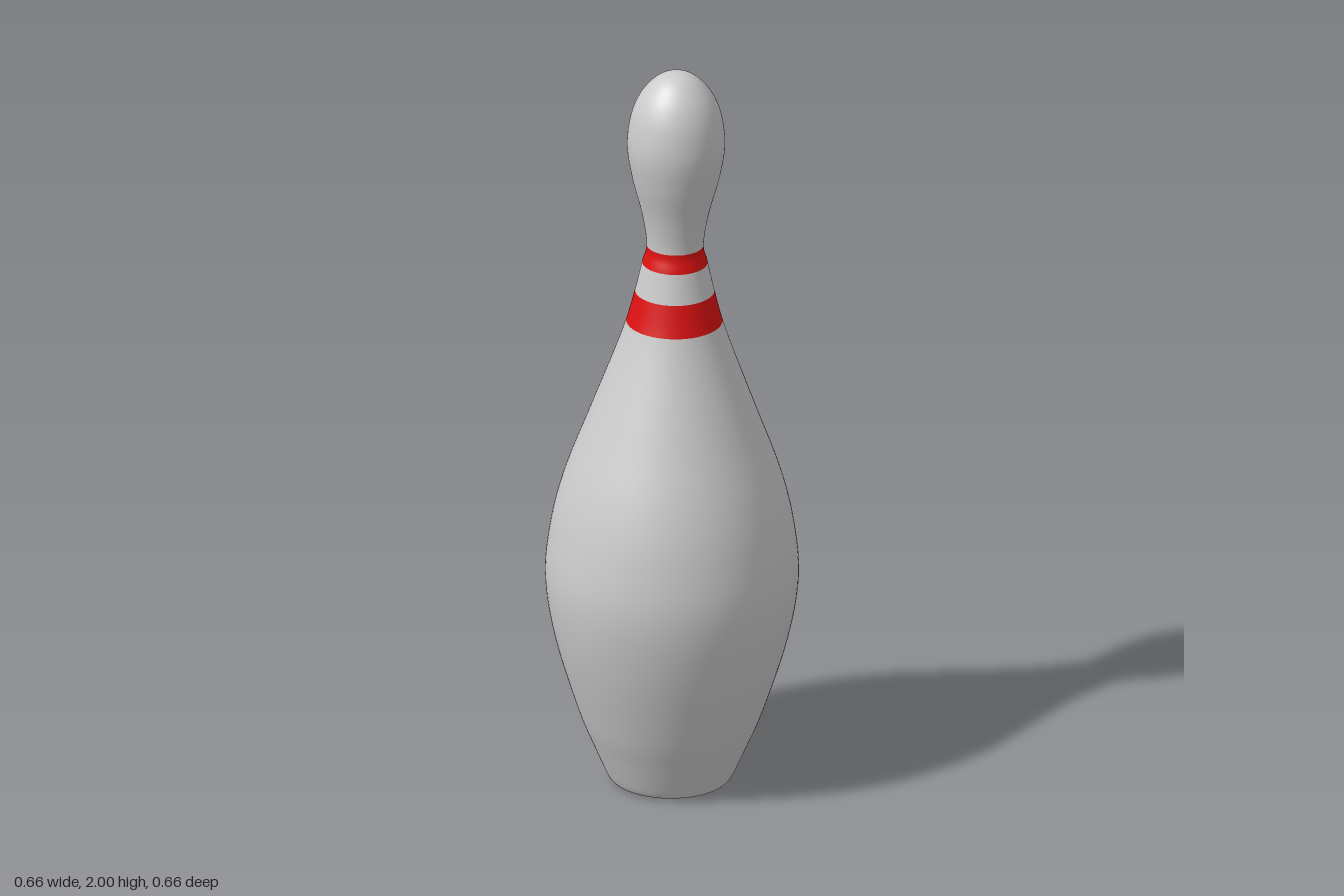
import * as THREE from 'three';

// Silhouette control points: [radius, height]
const PROFILE = [
  [0.155, 0.004], [0.167, 0.022], [0.201, 0.1], [0.241, 0.2], [0.302, 0.4],
  [0.329, 0.57], [0.316, 0.72], [0.282, 0.86], [0.22, 1.03], [0.157, 1.2],
  [0.125, 1.295], [0.103, 1.38], [0.085, 1.46], [0.074, 1.51], [0.087, 1.6],
  [0.113, 1.7], [0.127, 1.79], [0.119, 1.87], [0.098, 1.927], [0.066, 1.969],
  [0.034, 1.991], [0, 1.998],
];
const STEPS = 8;
const PIVOT = 0.57;

export function createModel() {
  const model = new THREE.Group();
  model.name = 'bowlingPin';

  const curve = new THREE.SplineCurve(PROFILE.map(([r, y]) => new THREE.Vector2(r, y)));
  const points = curve.getPoints((PROFILE.length - 1) * STEPS);
  points.forEach((p) => { p.x = Math.max(p.x, 0); });
  points[points.length - 1].x = 0;

  // The pin leans very slightly towards its left
  const pin = new THREE.Group();
  pin.name = 'leaningPin';
  pin.position.y = PIVOT + 0.0015;
  pin.rotation.z = -0.01;
  model.add(pin);

  const addLathe = (name, pts, color) => {
    const geometry = new THREE.LatheGeometry(pts, 96).translate(0, -PIVOT, 0);
    const mesh = new THREE.Mesh(geometry, new THREE.MeshStandardMaterial({ color }));
    mesh.name = name;
    pin.add(mesh);
  };

  // Sections of the silhouette between control points
  const sections = [
    ['body', 0, 10, 0xcccccc],
    ['lowerStripe', 10, 11, 0xdd1111],
    ['neckBetweenStripes', 11, 12, 0xcccccc],
    ['upperStripe', 12, 13, 0xdd1111],
    ['head', 13, PROFILE.length - 1, 0xcccccc],
  ];
  for (const [name, from, to, color] of sections) {
    addLathe(name, points.slice(from * STEPS, to * STEPS + 1), color);
  }

  // Flat underside with a softened rim
  addLathe('base', [[0, 0], [0.146, 0], [0.155, 0.004]].map(([r, y]) => new THREE.Vector2(r, y)), 0xcccccc);

  return model;
}
